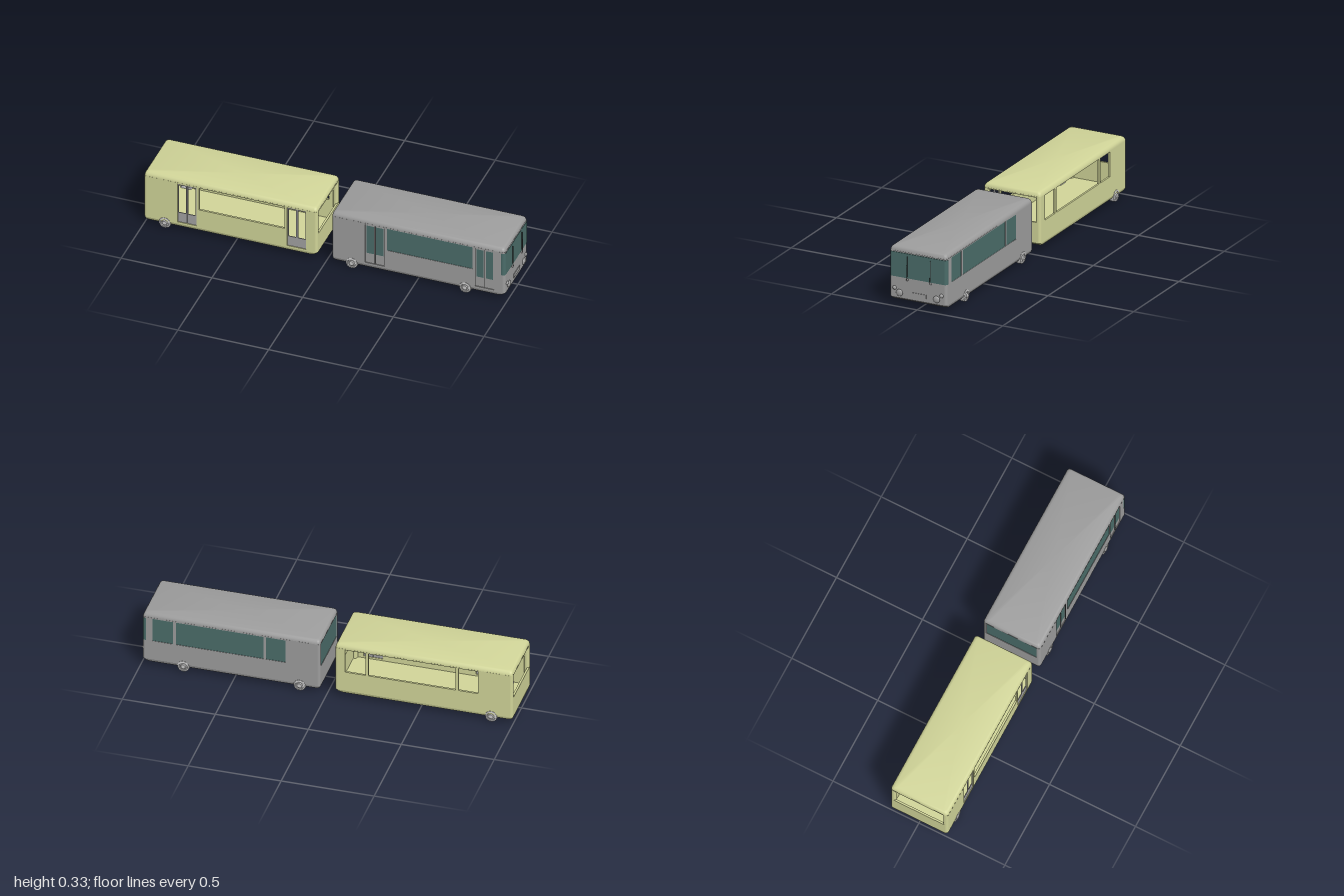
import * as THREE from 'three';
import { toCreasedNormals } from 'three/addons/utils/BufferGeometryUtils.js';

const mat = (color, side = THREE.FrontSide) => new THREE.MeshStandardMaterial({ color, side });
const YELLOW = mat(0xd0d498), BODY = mat(0x9c9c9c), GREY = mat(0xcccccc);
const GLASS = mat(0x4a6c69), DARK = mat(0x333333), LAMP = mat(0xa0a0a0);

const HL = 0.4775, HZ = 0.166, R = 0.015, T = 0.011; // half length, half width, corner radius, wall
const SILL = 0.045, EAVE = 0.302, WIN = [0.16, 0.297], DOOR = [0.056, 0.295];
const DOORS = [[-0.2925, -0.1875], [0.3125, 0.4175]];
const NEAR_WINDOWS = [[-0.4625, -0.3125], [-0.1725, 0.2975]];
const FAR_WINDOWS = [[-0.4625, -0.3125], [-0.2925, -0.1875], [-0.1725, 0.2975], [0.3125, 0.4225]];
const END = [-0.147, 0.147];

function add(group, name, geometry, material, x = 0, y = 0, z = 0) {
  const mesh = new THREE.Mesh(geometry, material);
  mesh.name = name;
  mesh.position.set(x, y, z);
  group.add(mesh);
  return mesh;
}

// Closed loft through rounded rectangles; each ring is [y, rearInset, frontInset, sideInset]
function loft(rings) {
  const N = 5, pos = [];
  const loops = rings.map(([y, rear, front, side]) => {
    const pts = [];
    for (let q = 0; q < 4; q++) for (let i = 0; i < N; i++) {
      const a = (q + i / (N - 1)) * Math.PI / 2;
      const cx = q === 0 || q === 3 ? HL - front - R : -HL + rear + R;
      const cz = (q < 2 ? 1 : -1) * (HZ - side - R);
      pts.push([cx + R * Math.cos(a), y, cz + R * Math.sin(a)]);
    }
    return pts;
  });
  const tri = (...p) => p.forEach(v => pos.push(...v));
  const count = N * 4, last = loops.length - 1;
  for (let j = 0; j < count; j++) {
    const k = (j + 1) % count;
    for (let i = 0; i < last; i++) {
      const lo = loops[i], hi = loops[i + 1];
      tri(lo[j], hi[j], lo[k]);
      tri(hi[j], hi[k], lo[k]);
    }
    tri([0, rings[0][0], 0], loops[0][j], loops[0][k]);
    tri([0, rings[last][0], 0], loops[last][k], loops[last][j]);
  }
  const g = new THREE.BufferGeometry();
  g.setAttribute('position', new THREE.Float32BufferAttribute(pos, 3));
  return toCreasedNormals(g, 0.6);
}

// Flat plate with rectangular openings [x0, x1, y0, y1]
function plate(x0, x1, y0, y1, holes, depth) {
  const rect = (C, a, b, c, d) => {
    const s = new C();
    s.moveTo(a, c); s.lineTo(b, c); s.lineTo(b, d); s.lineTo(a, d); s.closePath();
    return s;
  };
  const shape = rect(THREE.Shape, x0, x1, y0, y1);
  shape.holes = holes.map(h => rect(THREE.Path, ...h));
  return new THREE.ExtrudeGeometry(shape, { depth, bevelEnabled: false });
}

// Two narrow leaves: open or glazed above a solid kick panel
function addDoor(bus, [x0, x1], glazed, paint) {
  const door = new THREE.Group();
  door.name = 'door';
  const w = (x1 - x0) / 2;
  for (let i = 0; i < 2; i++) {
    const a = x0 + i * w + 0.001, b = x0 + (i + 1) * w - 0.001;
    const pane = [a + 0.005, b - 0.005, 0.115, 0.287];
    add(door, 'doorLeaf', plate(a, b, DOOR[0], DOOR[1], [pane], 0.004), paint, 0, 0, HZ - 0.008);
    if (glazed) add(door, 'doorGlass', plate(...pane, [], 0.002), GLASS, 0, 0, HZ - 0.006);
  }
  if (glazed) for (const x of [x0 + w, i0(x0, x1)])
    add(door, 'doorSeal', new THREE.BoxGeometry(0.003, 0.236, 0.004), DARK, x, 0.177, HZ - 0.003);
  bus.add(door);
}
const i0 = (x0, x1) => (x0 < 0 ? x1 : x0);

function addWheel(bus, x, side) {
  const p = [[0, 0], [0.032, 0], [0.033, 0.003], [0.033, 0.022], [0.031, 0.026], [0.023, 0.027],
    [0.021, 0.023], [0.015, 0.025], [0.012, 0.031], [0.007, 0.032], [0, 0.032]];
  const g = toCreasedNormals(new THREE.LatheGeometry(p.map(v => new THREE.Vector2(...v)), 28), 0.6);
  const wheel = add(bus, 'wheel', g, GREY, x, 0.033, side * 0.141);
  wheel.rotation.x = side * Math.PI / 2;
}

function makeBus(name, paint, glazed, axles) {
  const bus = new THREE.Group();
  bus.name = name;
  const win = w => [w[0], w[1], ...WIN];

  // Floor tub with sloped nose, and rounded roof
  add(bus, 'floorTub', loft([[0.024, 0.014, 0.036, 0.014], [0.028, 0.007, 0.027, 0.007],
    [0.035, 0.002, 0.012, 0.002], [SILL, 0, 0, 0]]), paint);
  add(bus, 'roof', loft([[0.296, 0, 0, 0], [0.308, 0.001, 0.002, 0.001], [0.317, 0.004, 0.005, 0.005],
    [0.323, 0.009, 0.01, 0.011], [0.326, 0.017, 0.018, 0.019]]), paint);

  // Side walls: doors on +z, windows only on -z
  const L = HL - R;
  const nearHoles = [...NEAR_WINDOWS.map(win), ...DOORS.map(d => [...d, ...DOOR])];
  add(bus, 'doorSideWall', plate(-L, L, SILL, EAVE, nearHoles, T), paint, 0, 0, HZ - T);
  add(bus, 'windowSideWall', plate(-L, L, SILL, EAVE, FAR_WINDOWS.map(win), T), paint, 0, 0, -HZ);

  // End walls with a wide opening, and rounded corner posts
  const W = HZ - R;
  for (const s of [-1, 1]) {
    const wall = add(bus, s > 0 ? 'frontWall' : 'rearWall', plate(-W, W, SILL, EAVE, [win(END)], T),
      paint, s > 0 ? HL - T : -HL);
    wall.rotation.y = Math.PI / 2;
    for (const z of [-1, 1])
      add(bus, 'cornerPost', new THREE.CylinderGeometry(R, R, EAVE - SILL, 20), paint,
        s * L, (EAVE + SILL) / 2, z * W);
  }

  for (const d of DOORS) addDoor(bus, d, glazed, glazed ? paint : LAMP);
  for (const x of axles) for (const s of [-1, 1]) addWheel(bus, x, s);

  if (glazed) {
    for (const w of NEAR_WINDOWS) add(bus, 'sideWindow', plate(...win(w), [], 0.003), GLASS, 0, 0, HZ - 0.005);
    for (const w of FAR_WINDOWS) add(bus, 'sideWindow', plate(...win(w), [], 0.003), GLASS, 0, 0, -HZ + 0.002);
    add(bus, 'rearWindow', plate(...win(END), [], 0.003), GLASS, -HL + 0.002).rotation.y = Math.PI / 2;
    // Windscreen wraps around the front corners
    add(bus, 'windscreen', plate(-W, W, 0.16, 0.295, [], 0.004), GLASS, HL - 0.003).rotation.y = Math.PI / 2;
    for (const s of [-1, 1])
      add(bus, 'windscreenCorner', new THREE.CylinderGeometry(R + 0.001, R + 0.001, 0.135, 20), GLASS,
        L, 0.2275, s * W);
  }
  return bus;
}

// Lamps, plate and wipers on the nose
function addNose(bus) {
  const lamp = (name, r, y, z) => {
    const m = add(bus, name, new THREE.SphereGeometry(r, 24, 12), LAMP, HL, y, z);
    m.scale.x = 0.009 / r;
  };
  for (const s of [-1, 1]) {
    lamp('headlight', 0.019, 0.073, s * 0.108);
    lamp('indicator', 0.011, 0.097, s * 0.137);
  }
  add(bus, 'blankPlate', new THREE.BoxGeometry(0.006, 0.022, 0.09), BODY, HL, 0.076, -0.004);
  for (const z of [0.061, -0.074]) {
    add(bus, 'wiperPivot', new THREE.SphereGeometry(0.006, 16, 10), LAMP, HL + 0.003, 0.153, z);
    add(bus, 'wiperArm', new THREE.CylinderGeometry(0.0009, 0.0014, 0.08, 8), DARK, HL + 0.008, 0.195, z);
    add(bus, 'wiperBlade', new THREE.BoxGeometry(0.005, 0.11, 0.002), DARK, HL + 0.004, 0.225, z);
  }
}

export function createModel() {
  const model = new THREE.Group();
  model.name = 'articulatedBus';
  const shell = makeBus('openTrailer', YELLOW, false, [-0.3625]);
  shell.position.x = -0.5225;
  const lead = makeBus('leadBus', BODY, true, [-0.3675, 0.2575]);
  lead.position.x = 0.5125;
  addNose(lead);
  model.add(shell, lead);
  return model;
}
